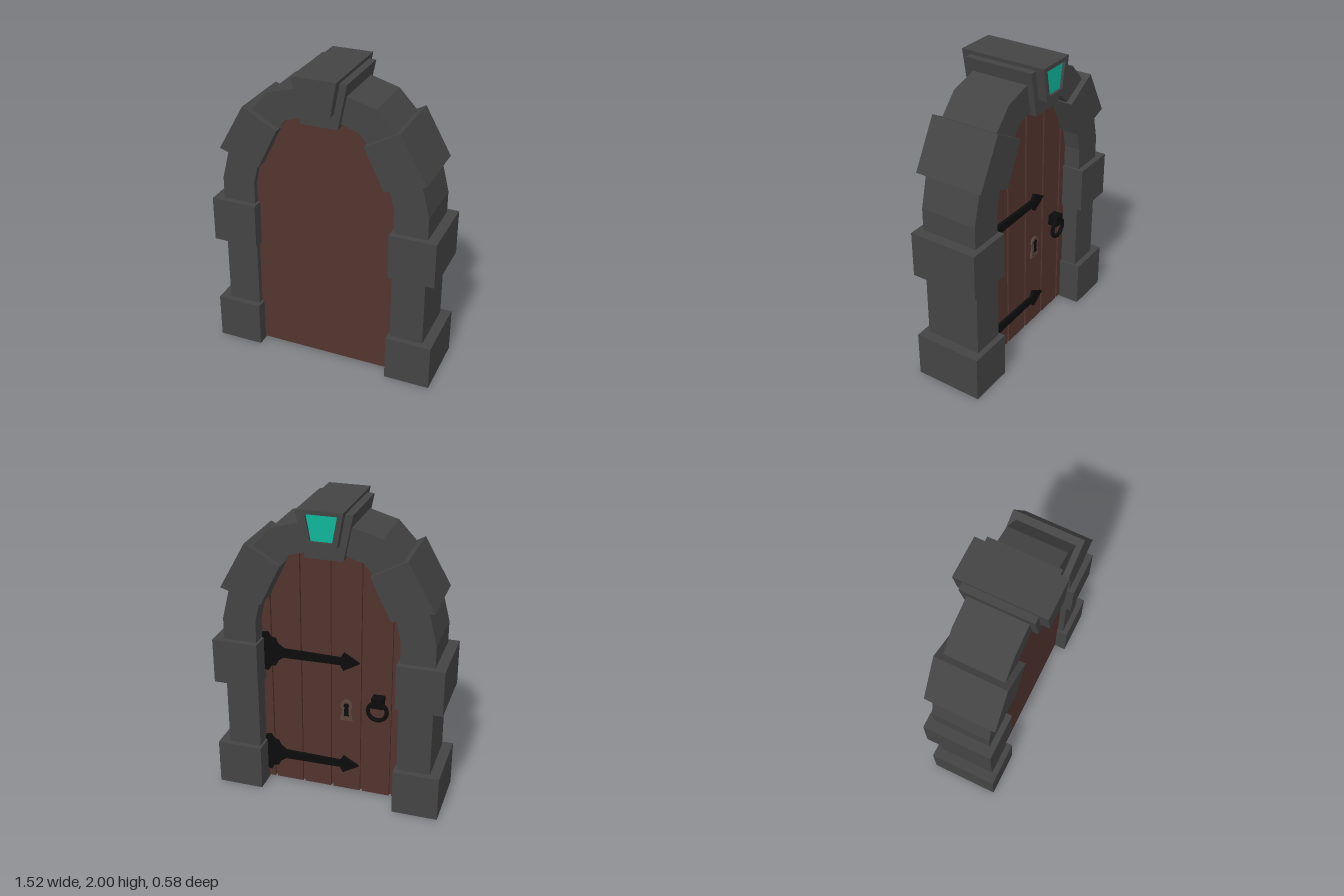
import * as THREE from 'three';

const mat = (color) => new THREE.MeshStandardMaterial({ color, flatShading: true });
const stone = mat(0x444444), wood = mat(0x52342e), iron = mat(0x0c0c0c);
const bronze = mat(0x5c443c), teal = mat(0x0fb59a);

const shapeOf = (pts) => new THREE.Shape(pts.map(([x, y]) => new THREE.Vector2(x, y)));

// Flat outline extruded from z0 to z1
function prism(name, pts, z0, z1, material, hole) {
  const shape = shapeOf(pts);
  if (hole) shape.holes.push(shapeOf(hole));
  const geo = new THREE.ExtrudeGeometry(shape, { depth: z1 - z0, bevelEnabled: false, curveSegments: 8 });
  geo.translate(0, 0, z0);
  const mesh = new THREE.Mesh(geo, material);
  mesh.name = name;
  return mesh;
}

// Straight jambs with a six-sided arch on top, listed from +x to -x
const SPRING = 1.21;
function archLine(rx, ry, y0) {
  const pts = [[rx, y0]];
  for (let i = 0; i <= 6; i++) {
    const a = (i * Math.PI) / 6;
    pts.push([rx * Math.cos(a), SPRING + ry * Math.sin(a)]);
  }
  pts.push([-rx, y0]);
  return pts;
}

// Symmetric trapezoid
const taper = (bottom, top, y0, y1) => [[-bottom, y0], [bottom, y0], [top, y1], [-top, y1]];

const RX = 0.465, RY = 0.54;

// Height of the door opening at x
function openingTop(x) {
  const p = archLine(RX, RY, 0).slice(1, 8);
  for (let i = 0; i < 6; i++) {
    if (x <= p[i][0] + 1e-6 && x >= p[i + 1][0] - 1e-6) {
      const t = (p[i][0] - x) / (p[i][0] - p[i + 1][0]);
      return p[i][1] + t * (p[i + 1][1] - p[i][1]);
    }
  }
  return SPRING;
}

function createModel() {
  const root = new THREE.Group();
  root.name = 'archedDoor';
  const body = new THREE.Group();
  body.name = 'doorAndFrame';
  body.rotation.y = -0.037;
  root.add(body);

  // Stone arch
  const outline = [...archLine(0.683, 0.725, 0.004), ...archLine(RX, RY, 0.004).reverse()];
  body.add(prism('stoneArch', outline, -0.19, 0.19, stone));

  // Projecting stones on both sides
  for (const s of [1, -1]) {
    const side = s > 0 ? 'left' : 'right';
    for (const [part, y0, y1] of [['BaseStone', 0, 0.305], ['MiddleStone', 0.765, 1.065]]) {
      const block = new THREE.Mesh(new THREE.BoxGeometry(0.3, y1 - y0, 0.456), stone);
      block.position.set(s * 0.6, (y0 + y1) / 2, 0);
      block.name = side + part;
      body.add(block);
    }
    const wedge = [[0.502, 1.735], [0.672, 1.433], [0.41, 1.348], [0.28, 1.613]];
    body.add(prism(side + 'ArchStone', wedge.map(([x, y]) => [s * x, y]), -0.228, 0.228, stone));
  }

  // Keystone with a recessed gem in its back face
  body.add(prism('keystoneBase', taper(0.118, 0.175, 1.69, 1.975), -0.228, 0.228, stone));
  const key = taper(0.095, 0.133, 1.785, 2);
  const gem = taper(0.067, 0.097, 1.812, 1.974);
  body.add(prism('keystone', key, -0.262, 0.285, stone));
  body.add(prism('gemFrame', key, -0.285, -0.262, stone, gem));
  body.add(prism('gem', gem, -0.268, -0.255, teal));

  // Door slab with planks on its back
  body.add(prism('doorSlab', archLine(RX, RY, 0.012), -0.06, 0.15, wood));
  const edges = [-RX, -0.4, -0.2, 0, 0.2, 0.4, RX];
  for (let i = 0; i < 6; i++) {
    const a = edges[i] + (i > 0 ? 0.008 : 0);
    const b = edges[i + 1] - (i < 5 ? 0.008 : 0);
    const pts = [[a, 0.012], [b, 0.012], [b, openingTop(b)]];
    for (const [x, y] of archLine(RX, RY, 0).slice(2, 7)) {
      if (x > a + 0.001 && x < b - 0.001) pts.push([x, y]);
    }
    pts.push([a, openingTop(a)]);
    body.add(prism('plank' + (i + 1), pts, -0.08, -0.06, wood));
  }

  // Strap hinges with a flared plate and an arrow tip
  const half = [[0.46, 0.13], [0.425, 0.135], [0.405, 0.1], [0.375, 0.095], [0.36, 0.06],
    [0.32, 0.03], [-0.06, 0.024], [-0.08, 0.062], [-0.185, 0]];
  for (const [name, y] of [['lowerHinge', 0.21], ['upperHinge', 0.97]]) {
    const upper = half.map(([x, h]) => [x, y + h]);
    const lower = half.slice(0, -1).reverse().map(([x, h]) => [x, y - h]);
    body.add(prism(name, [...upper, ...lower], -0.1, -0.078, iron));
  }

  // Keyhole plate: round head over a flared foot
  const keyhole = (r, foot, drop) => {
    const pts = [];
    for (let i = 0; i <= 10; i++) {
      const a = -0.25 * Math.PI + (i / 10) * 1.5 * Math.PI;
      pts.push([-0.1 + r * Math.cos(a), 0.655 + r * Math.sin(a)]);
    }
    return [...pts, [-0.1 - foot, 0.655 - drop], [-0.1 + foot, 0.655 - drop]];
  };
  body.add(prism('keyholePlate', keyhole(0.04, 0.045, 0.11), -0.092, -0.078, bronze));
  body.add(prism('keyhole', keyhole(0.018, 0.017, 0.075), -0.094, -0.09, iron));

  // Ring handle hanging from a block
  const handle = new THREE.Group();
  handle.name = 'ringHandle';
  handle.position.set(-0.315, 0.73, -0.08);
  const mount = new THREE.Mesh(new THREE.BoxGeometry(0.075, 0.07, 0.07), iron);
  mount.position.z = -0.03;
  mount.name = 'handleMount';
  const ring = new THREE.Mesh(new THREE.TorusGeometry(0.062, 0.014, 8, 16), iron);
  ring.position.set(0, -0.06, -0.05);
  ring.name = 'handleRing';
  handle.add(mount, ring);
  body.add(handle);

  return root;
}

export { createModel };
